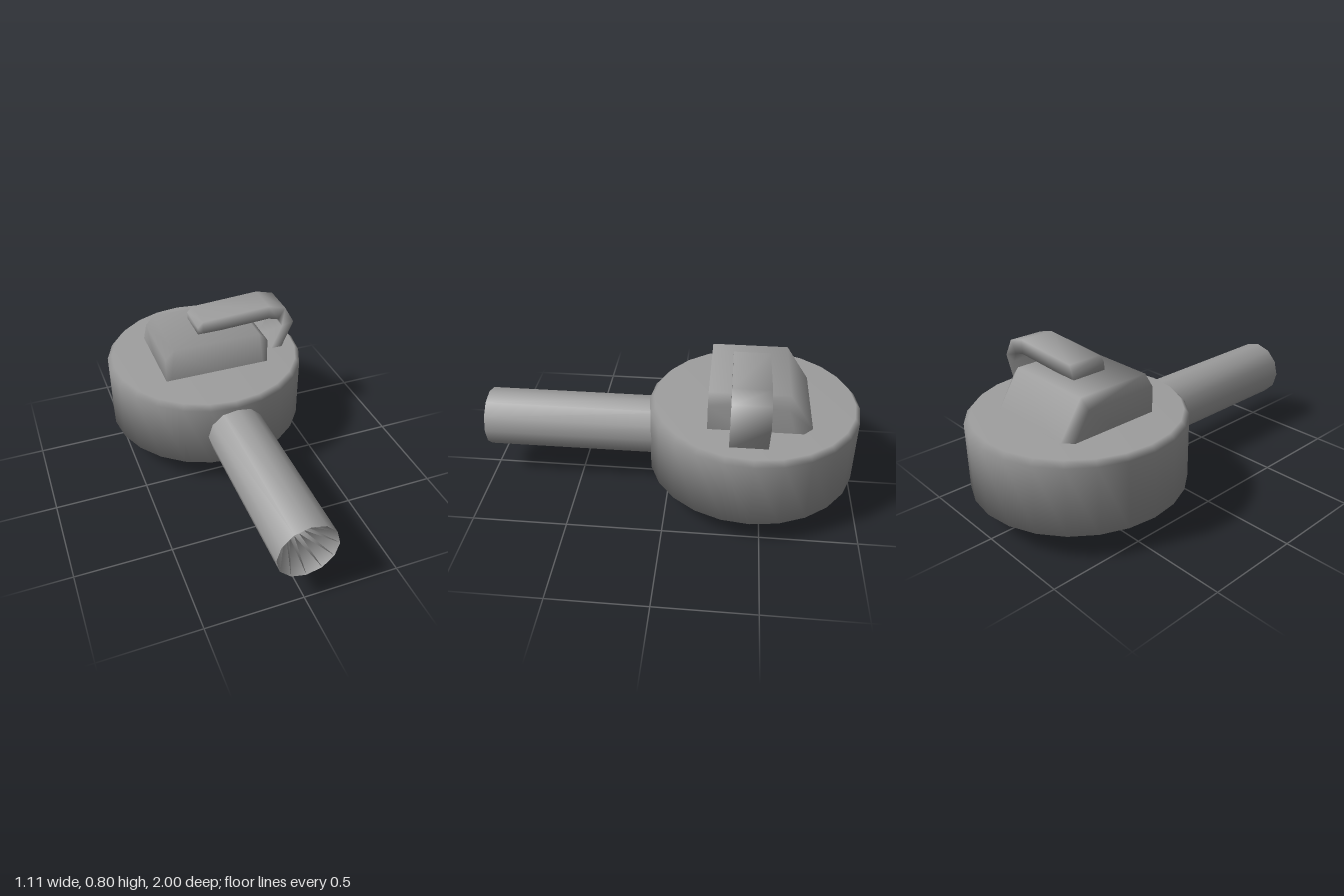
import * as THREE from 'three';
import { mergeVertices } from 'three/addons/utils/BufferGeometryUtils.js';
import { ConvexGeometry } from 'three/addons/geometries/ConvexGeometry.js';

const CENTRE_Z = -0.444; // axis of the round body

const points = (list) => list.map(([x, y]) => new THREE.Vector2(x, y));

// Shared vertices with averaged normals
function smooth(geometry) {
  geometry.deleteAttribute('uv');
  geometry.deleteAttribute('normal');
  const merged = mergeVertices(geometry, 1e-4);
  merged.computeVertexNormals();
  return merged;
}

// Box-section bar through pairs of lower and upper edge points [x, y, x, y]
function boxBar(sections, z0, z1) {
  const vertices = [];
  const index = [0, 1, 2, 0, 2, 3];
  sections.forEach(([xl, yl, xu, yu], i) => {
    vertices.push(xl, yl, z0, xl, yl, z1, xu, yu, z1, xu, yu, z0);
    if (i === 0) return;
    for (let k = 0; k < 4; k++) {
      const a = (i - 1) * 4 + k;
      const b = (i - 1) * 4 + (k + 1) % 4;
      index.push(a, a + 4, b, b, a + 4, b + 4);
    }
  });
  const geometry = new THREE.BufferGeometry();
  geometry.setAttribute('position', new THREE.Float32BufferAttribute(vertices, 3));
  geometry.setIndex(index);
  geometry.computeVertexNormals();
  return geometry;
}

export function createModel() {
  const group = new THREE.Group();
  const solid = new THREE.MeshStandardMaterial({ color: 0x9e9e9e });
  const thin = new THREE.MeshStandardMaterial({ color: 0x9e9e9e, side: THREE.DoubleSide });

  function add(name, geometry, material = solid) {
    const mesh = new THREE.Mesh(geometry, material);
    mesh.name = name;
    group.add(mesh);
  }

  // Round body with a small bevel around the top
  const body = new THREE.LatheGeometry(
    points([[0, 0.138], [0.556, 0.138], [0.556, 0.49], [0.53, 0.518], [0, 0.518]]), 24);
  body.translate(0, 0, CENTRE_Z);
  add('body', body);

  // Open square collar with cut corners underneath
  const collar = new THREE.CylinderGeometry(1, 1, 0.15, 8, 1, true);
  collar.rotateY(Math.PI / 8);
  const pos = collar.attributes.position;
  const cut = (v) => Math.sign(v) * (Math.abs(v) > 0.5 ? 0.241 : 0.2);
  for (let i = 0; i < pos.count; i++) {
    pos.setX(i, cut(pos.getX(i)));
    pos.setZ(i, cut(pos.getZ(i)));
  }
  collar.translate(0, 0.075, CENTRE_Z + 0.002);
  add('collar', smooth(collar), thin);

  // Twelve-sided handle with a hollow in its end, smooth over the rim
  const handle = new THREE.LatheGeometry(
    points([[0.157, -0.05], [0.157, 1], [0.05, 0.85], [0, 0.85]]), 12);
  handle.rotateX(Math.PI / 2);
  handle.translate(0, 0.32, 0);
  add('handle', handle);

  // Raised block: bevelled sides, upright front, sloping back, foot sunk in the body
  const corners = [];
  for (const s of [-1, 1]) {
    for (const [x, y, z] of [
      [0.295, 0.3, -0.21], [0.295, 0.655, -0.21], [0.245, 0.705, -0.21],
      [0.295, 0.3, -0.7], [0.295, 0.5, -0.7], [0.295, 0.655, -0.605],
      [0.245, 0.3, -0.747], [0.245, 0.5, -0.747], [0.245, 0.705, -0.612],
    ]) corners.push(new THREE.Vector3(s * x + 0.003, y, z));
  }
  add('topBlock', smooth(new ConvexGeometry(corners)));

  // Flat bent lever from the block down to the body
  add('lever', boxBar([
    [-0.07, 0.7, -0.07, 0.745], [-0.04, 0.7, -0.04, 0.775], [0.35, 0.72, 0.35, 0.797],
    [0.41, 0.705, 0.45, 0.77], [0.435, 0.655, 0.505, 0.672], [0.367, 0.505, 0.433, 0.505],
  ], -0.513, -0.323));

  return group;
}
